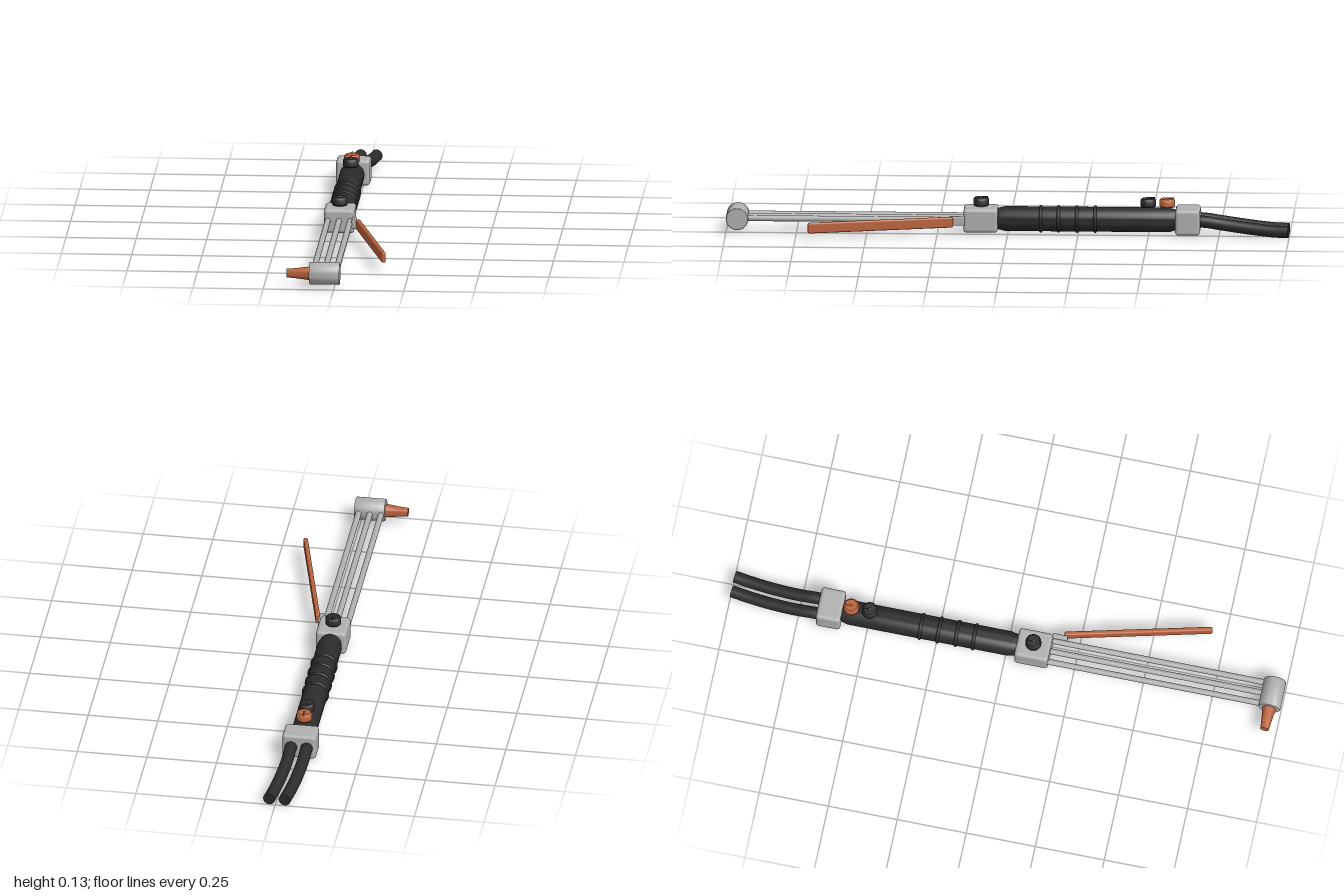
import * as THREE from 'three';
import { RoundedBoxGeometry } from 'three/addons/geometries/RoundedBoxGeometry.js';
import { toCreasedNormals } from 'three/addons/utils/BufferGeometryUtils.js';

const CX = -0.036, CY = 0.053; // main axis of the torch

export function createModel() {
  const group = new THREE.Group();
  const material = (name, color) => {
    const m = new THREE.MeshStandardMaterial({ color });
    m.name = name;
    return m;
  };
  const steel = material('steel', 0xb0b0b0);
  const rubber = material('black rubber', 0x2b2b2b);
  const copper = material('copper', 0xb9623c);

  const add = (name, geometry, mat, x, y, z, parent = group) => {
    const mesh = new THREE.Mesh(geometry, mat);
    mesh.name = name;
    mesh.position.set(x, y, z);
    parent.add(mesh);
    return mesh;
  };
  // Turned solid from [radius, height] pairs, along y
  const turned = (points) => toCreasedNormals(
    new THREE.LatheGeometry(points.map(([r, h]) => new THREE.Vector2(r, h)), 32), 0.6);

  // Handle with chamfered ends and grip rings
  add('handle', turned([[0, -0.6], [0.036, -0.6], [0.044, -0.57], [0.044, 0.01], [0.037, 0.04], [0, 0.04]])
    .rotateX(Math.PI / 2), rubber, CX, CY, 0);
  for (const z of [-0.31, -0.245, -0.18, -0.117]) {
    add('gripRing', new THREE.TorusGeometry(0.043, 0.006, 10, 32), rubber, CX, CY, z);
  }

  // Valve blocks at both ends of the handle
  add('frontBlock', new RoundedBoxGeometry(0.108, 0.086, 0.122, 4, 0.012), steel, CX, CY, 0.096);
  add('rearBlock', new RoundedBoxGeometry(0.121, 0.092, 0.088, 4, 0.012), steel, CX + 0.001, CY, -0.639);

  // Valve knobs, each with a stem and a pointer
  const knob = (name, mat, z) => {
    const g = new THREE.Group();
    g.name = name;
    g.position.set(CX, 0, z);
    group.add(g);
    add('stem', new THREE.CylinderGeometry(0.012, 0.012, 0.03, 20), steel, 0, 0.09, 0, g);
    add('cap', turned([[0, 0.1], [0.025, 0.1], [0.028, 0.104], [0.028, 0.122], [0.026, 0.127], [0.022, 0.13], [0, 0.13]]),
      mat, 0, 0, 0, g);
    add('pointer', new THREE.BoxGeometry(0.004, 0.006, 0.024), mat, 0, 0.131, -0.012, g);
    add('pointerPin', new THREE.SphereGeometry(0.004, 10, 8), steel, 0, 0.13, 0, g);
  };
  knob('frontKnob', rubber, 0.095);
  knob('rearKnob', rubber, -0.498);
  knob('oxygenKnob', copper, -0.565);

  // Three gas tubes running to the head
  for (const dx of [-0.04, 0, 0.04]) {
    add('gasTube', new THREE.CylinderGeometry(0.0105, 0.0105, 0.81, 20).rotateX(Math.PI / 2),
      steel, CX + dx, CY + 0.002, 0.545);
  }

  // Crosswise head and tapered nozzle
  add('head', turned([[0, -0.054], [0.038, -0.054], [0.04, -0.051], [0.04, 0.051], [0.038, 0.054], [0, 0.054]])
    .rotateZ(Math.PI / 2), steel, CX + 0.002, CY + 0.001, 0.96);
  add('nozzle', turned([[0, 0], [0.024, 0], [0.0175, 0.055], [0.0155, 0.082], [0, 0.082]])
    .rotateZ(Math.PI / 2), copper, -0.087, CY, 0.96);

  // Lever splayed out from its bracket
  add('leverBracket', new RoundedBoxGeometry(0.018, 0.034, 0.055, 2, 0.005), steel, 0.02, CY + 0.002, 0.18);
  const lever = add('lever', new RoundedBoxGeometry(0.016, 0.038, 0.525, 3, 0.006), copper, 0.097, CY, 0.448);
  lever.rotation.y = 0.24;

  // Pair of hoses drooping behind the rear block
  for (const x of [-0.063, -0.007]) {
    const curve = new THREE.CatmullRomCurve3([
      [0, CY + 0.002, -0.64], [0, CY, -0.7], [0.002, 0.043, -0.77],
      [0.01, 0.032, -0.86], [0.021, 0.025, -0.94], [0.03, 0.024, -0.998],
    ].map(([dx, y, z]) => new THREE.Vector3(x + dx, y, z)));
    add('hose', new THREE.TubeGeometry(curve, 32, 0.0215, 20), rubber, 0, 0, 0);
    const end = add('hoseEnd', new THREE.CircleGeometry(0.0215, 20), rubber, 0, 0, 0);
    end.position.copy(curve.getPoint(1));
    end.lookAt(end.position.clone().add(curve.getTangent(1)));
  }
  return group;
}
